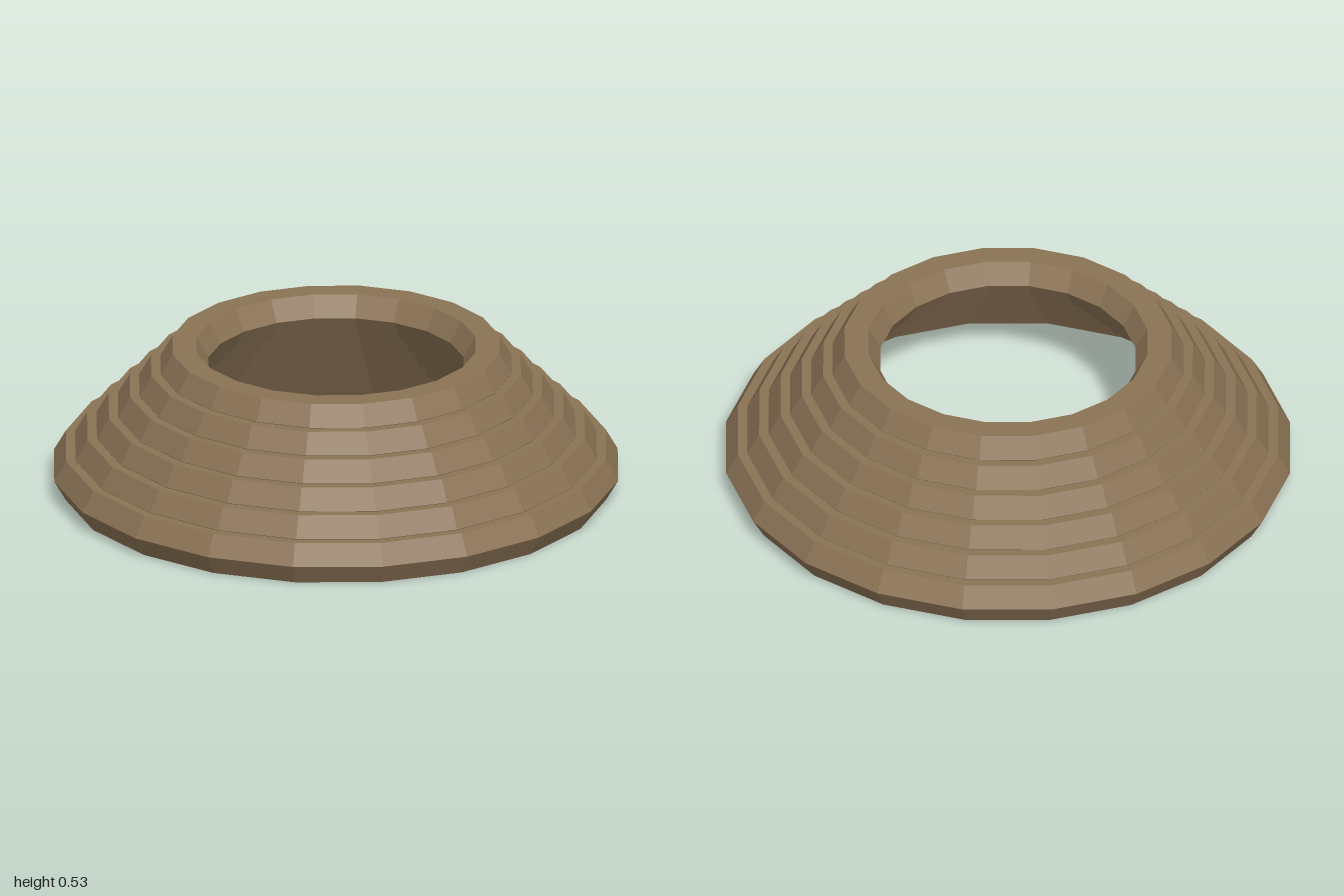
import * as THREE from 'three';

export function createModel() {
  const group = new THREE.Group();
  group.name = 'steppedRingStack';
  const material = new THREE.MeshStandardMaterial({ color: 0x8b7355, flatShading: true });

  const ringCount = 6;
  const tube = 0.085; // hexagonal section, corner radius
  const baseRadius = 1 - tube;
  const step = 0.0756; // each ring rises and shrinks by this much
  const halfHeight = tube * Math.sqrt(3) / 2;

  // Overlapping coils, each smaller and higher than the last
  for (let i = 0; i < ringCount; i++) {
    const geometry = new THREE.TorusGeometry(baseRadius - i * step, tube, 6, 20);
    geometry.rotateX(-Math.PI / 2);
    const ring = new THREE.Mesh(geometry, material);
    ring.name = `ring${i + 1}`;
    ring.position.y = halfHeight + i * step;
    group.add(ring);
  }
  return group;
}
